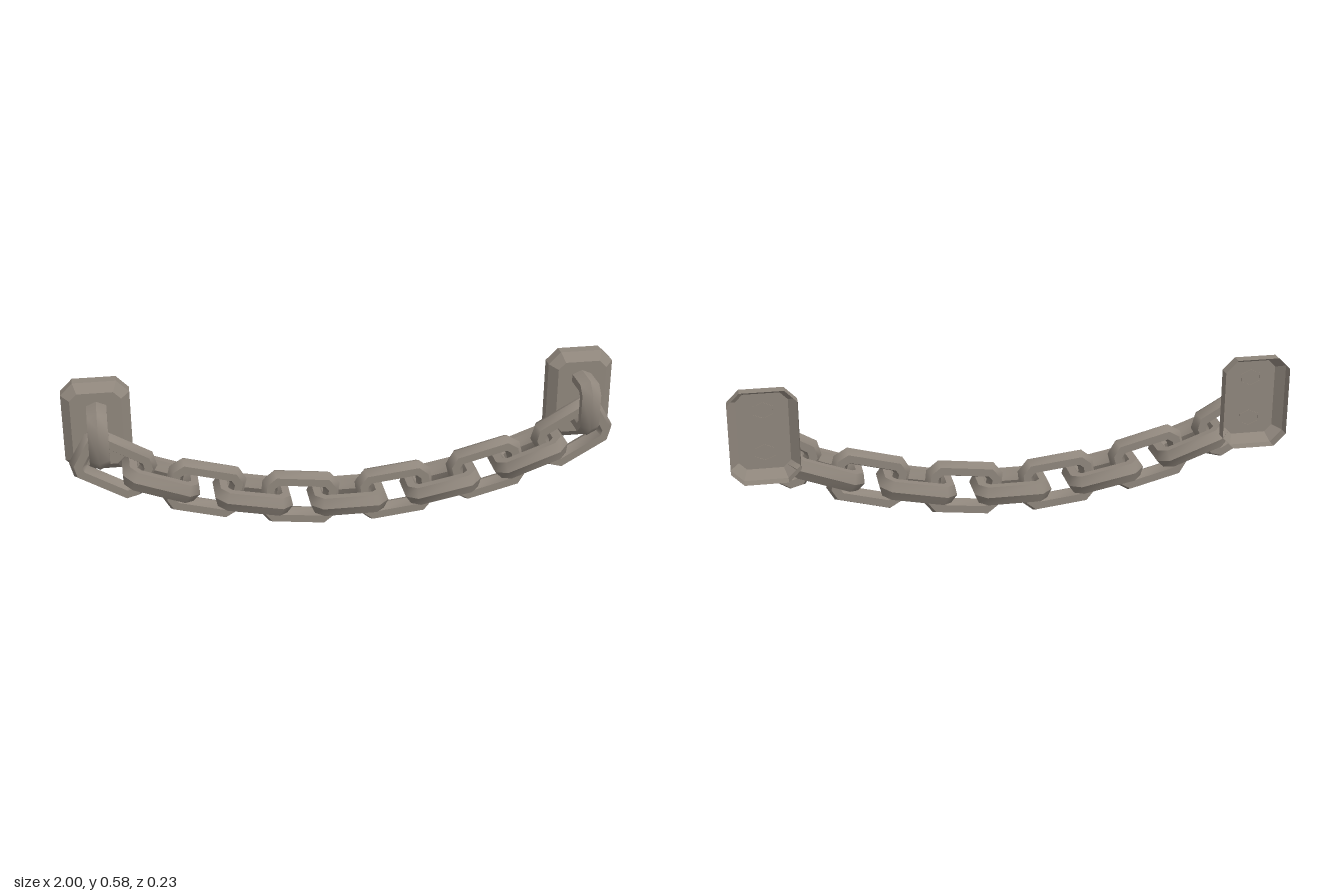
import * as THREE from 'three';
import { toCreasedNormals } from 'three/addons/utils/BufferGeometryUtils.js';

// Octagon outline (half sizes L x W, corner cut) inset by d; open = only the +u half
function outline(L, W, cut, d, open) {
  const l = L - d, w = W - d, c = cut - d * (2 - Math.SQRT2);
  const half = [[l - c, w], [l, w - c], [l, c - w], [l - c, -w]];
  if (open) return [[0, w], ...half, [0, -w]];
  return [...half, ...half.map(([u, v]) => [-u, -v])];
}

// Skin between rows of points; optionally cap the last row
function skin(rows, { loopAlong, loopAcross, cap, crease }) {
  const n = rows[0].length, pos = [], idx = [];
  rows.forEach(r => r.forEach(p => pos.push(...p)));
  const rowEnd = loopAcross ? rows.length : rows.length - 1;
  const colEnd = loopAlong ? n : n - 1;
  for (let j = 0; j < rowEnd; j++) {
    const k = (j + 1) % rows.length;
    for (let i = 0; i < colEnd; i++) {
      const m = (i + 1) % n;
      const a = j * n + i, b = j * n + m, c = k * n + m, d = k * n + i;
      idx.push(a, b, c, a, c, d);
    }
  }
  if (cap) {
    const s = (rows.length - 1) * n;
    for (let i = 1; i < n - 1; i++) idx.push(s, s + i, s + i + 1);
  }
  const g = new THREE.BufferGeometry();
  g.setAttribute('position', new THREE.Float32BufferAttribute(pos, 3));
  g.setIndex(idx);
  return toCreasedNormals(g, crease);
}

// Six-sided bar section: [inset from the outside, sideways offset]
const SECTION = [[0, 0], [0.015, -0.035], [0.043, -0.035], [0.058, 0], [0.043, 0.035], [0.015, 0.035]];

function barGeometry(L, W, open) {
  const rows = SECTION.map(([d, w]) => outline(L, W, 0.04, d, open).map(([u, v]) => [u, v, w]));
  return skin(rows, { loopAlong: !open, loopAcross: true, crease: 0.76 });
}

// Wall plate: open-backed tray with a bevelled front
function plateGeometry() {
  const rows = [[0, -0.115], [0, -0.073], [0.03, -0.043]].map(([d, z]) =>
    outline(0.12, 0.1685, 0.044, d, false).reverse().map(([u, v]) => [u, v, z]));
  return skin(rows, { loopAlong: true, loopAcross: false, cap: true, crease: 0.5 });
}

export function createModel() {
  const model = new THREE.Group();
  model.name = 'wallChain';
  const iron = new THREE.MeshStandardMaterial({ color: 0x8f867c, side: THREE.DoubleSide });
  iron.name = 'dull iron';

  const linkGeo = barGeometry(0.1415, 0.1015, false);
  const stapleGeo = barGeometry(0.148, 0.1065, true);
  const plateGeo = plateGeometry();

  const add = (geo, name, x, y, z) => {
    const mesh = new THREE.Mesh(geo, iron);
    mesh.name = name;
    mesh.position.set(x, y, z);
    model.add(mesh);
    return mesh;
  };

  // Chain links from the middle outwards: x, y, tilt in degrees; every other one lies flat
  const links = [
    [0, 0.107, 0], [0.175, 0.114, 6.5], [0.345, 0.14, 11],
    [0.517, 0.178, 14.5], [0.67, 0.233, 20], [0.833, 0.299, 30],
  ];
  links.forEach(([x, y, tilt], i) => {
    for (const side of i ? [1, -1] : [1]) {
      const flat = i % 2 === 0;
      const link = add(linkGeo, flat ? 'flatLink' : 'uprightLink', side * x, y, 0.0165);
      link.rotation.order = 'ZYX';
      link.rotation.set(flat ? Math.PI / 2 : 0, 0, side * THREE.MathUtils.degToRad(tilt));
    }
  });

  // Wall plates and their staples
  for (const side of [1, -1]) {
    const label = side > 0 ? 'left' : 'right';
    add(plateGeo, label + 'WallPlate', side * 0.88, 0.4085, 0);
    add(stapleGeo, label + 'Staple', side * 0.878, 0.4085, -0.045).rotation.y = -Math.PI / 2;
  }
  return model;
}
